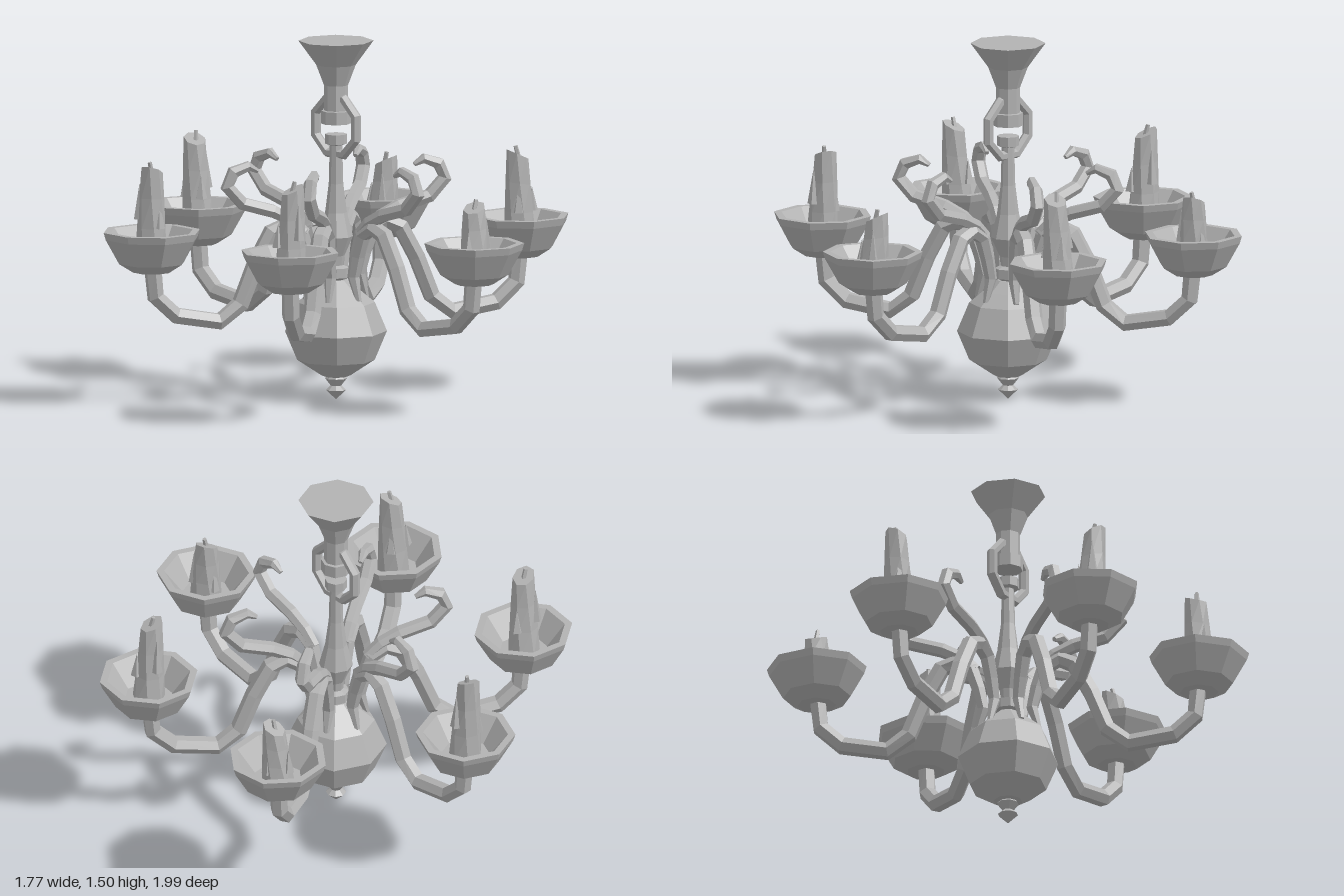
import * as THREE from 'three';

const metal = new THREE.MeshStandardMaterial({ color: 0xb2b2b2, flatShading: true });
metal.name = 'grey';

function part(name, geometry, parent) {
  const mesh = new THREE.Mesh(geometry, metal);
  mesh.name = name;
  parent.add(mesh);
  return mesh;
}

// Turned part from [radius, y] pairs listed bottom to top
function turned(points, sides = 8) {
  return new THREE.LatheGeometry(points.map(([r, y]) => new THREE.Vector2(r, y)), sides);
}

// Six-sided bar swept through [reach, y, radius] points in the YZ plane
function bar(points, sides = 6) {
  const pos = [], index = [];
  const at = (i) => points[Math.max(0, Math.min(points.length - 1, i))];
  points.forEach(([z, y, r], i) => {
    const tz = at(i + 1)[0] - at(i - 1)[0], ty = at(i + 1)[1] - at(i - 1)[1];
    const len = Math.hypot(tz, ty);
    for (let j = 0; j < sides; j++) {
      const a = ((j + 0.5) / sides) * Math.PI * 2;
      const n = r * Math.cos(a);
      pos.push(r * Math.sin(a), y + (n * tz) / len, z - (n * ty) / len);
    }
  });
  const last = (points.length - 1) * sides;
  for (let j = 0; j < sides; j++) {
    const k = (j + 1) % sides;
    for (let o = 0; o < last; o += sides) {
      index.push(o + j, o + sides + j, o + k, o + k, o + sides + j, o + sides + k);
    }
    if (j > 0 && j < sides - 1) index.push(0, j, k, last, last + k, last + j);
  }
  const g = new THREE.BufferGeometry();
  g.setAttribute('position', new THREE.Float32BufferAttribute(pos, 3));
  g.setIndex(index);
  g.computeVertexNormals();
  return g;
}

// Melted candle: tapered, leaning, with a slanted top, wick and drips
function candle(height) {
  const group = new THREE.Group();
  group.name = 'candle';
  const g = new THREE.CylinderGeometry(0.046, 0.068, height, 7, 3);
  g.translate(0, height / 2, 0);
  const p = g.attributes.position;
  for (let i = 0; i < p.count; i++) {
    const x = p.getX(i), y = p.getY(i), z = p.getZ(i), t = y / height;
    const a = t * 0.5;
    p.setXYZ(
      i,
      x * Math.cos(a) - z * Math.sin(a) + 0.012 * t,
      y + t * t * t * (0.3 * x - 0.35 * z),
      x * Math.sin(a) + z * Math.cos(a) - 0.012 * t
    );
  }
  part('wax', g, group);

  const wick = part('wick', new THREE.CylinderGeometry(0.009, 0.011, 0.045, 5), group);
  wick.position.set(0.014, height + 0.012, -0.008);
  wick.rotation.z = -0.25;

  for (const [angle, top, length] of [[0.8, 0.85, 0.15], [3.0, 0.7, 0.13], [5.0, 0.62, 0.1]]) {
    const drip = part('waxDrip', new THREE.ConeGeometry(0.026, length, 5), group);
    drip.position.set(Math.sin(angle) * 0.05, height * top - length / 2, Math.cos(angle) * 0.05);
  }
  return group;
}

export function createModel() {
  const model = new THREE.Group();
  model.name = 'chandelier';

  // Ceiling canopy with its collar
  part('canopy', turned([
    [0, 1.15], [0.062, 1.15], [0.062, 1.203], [0.05, 1.205], [0.05, 1.31],
    [0.082, 1.395], [0.155, 1.495], [0, 1.495]
  ]), model);

  // Link joining canopy and shaft
  const link = part('chainLink', new THREE.TorusGeometry(0.124, 0.022, 6, 8), model);
  link.rotation.set(0, Math.PI / 2, 0);
  link.geometry.rotateZ(Math.PI / 8);
  link.position.y = 1.14;

  // Central shaft with cap and collar
  part('shaft', turned([
    [0.04, 0.44], [0.035, 0.5], [0.055, 0.51], [0.055, 0.55], [0.03, 0.56], [0.035, 0.6],
    [0.07, 0.68], [0.045, 0.78], [0.03, 0.9], [0.026, 1.06], [0.046, 1.066],
    [0.046, 1.106], [0, 1.108]
  ]), model);

  // Bulbous body and the finial below it
  part('body', turned([
    [0, 0.085], [0.06, 0.1], [0.16, 0.165], [0.21, 0.285], [0.16, 0.405],
    [0.1, 0.455], [0.045, 0.5], [0, 0.5]
  ]), model);
  part('finial', turned([
    [0, 0], [0.042, 0.04], [0.022, 0.058], [0.045, 0.088], [0.03, 0.11], [0, 0.11]
  ]), model);

  // Six branches, each with arm, scroll, drip cup and candle
  const candleHeights = [0.25, 0.36, 0.25, 0.37, 0.36, 0.36];
  candleHeights.forEach((height, i) => {
    const branch = new THREE.Group();
    branch.name = 'branch';
    branch.rotation.y = (i * Math.PI) / 3;
    model.add(branch);

    part('arm', bar([
      [0.13, 0.42, 0.012], [0.1, 0.52, 0.026], [0.12, 0.61, 0.03], [0.15, 0.7, 0.034],
      [0.21, 0.738, 0.035], [0.275, 0.71, 0.037], [0.345, 0.58, 0.037], [0.41, 0.415, 0.037],
      [0.5, 0.346, 0.037], [0.685, 0.378, 0.037], [0.773, 0.46, 0.037], [0.785, 0.58, 0.037]
    ]), branch);

    part('scroll', bar([
      [0.13, 0.7, 0.024], [0.19, 0.755, 0.028], [0.27, 0.795, 0.03], [0.4, 0.832, 0.03],
      [0.466, 0.905, 0.03], [0.44, 0.965, 0.028], [0.375, 0.988, 0.022], [0.335, 0.965, 0.01]
    ]), branch);

    const cup = part('dripCup', turned([
      [0, 0.565], [0.08, 0.565], [0.14, 0.603], [0.197, 0.705], [0.206, 0.735],
      [0.175, 0.735], [0.1, 0.635], [0, 0.635]
    ]), branch);
    cup.position.z = 0.79;

    const wax = candle(height);
    wax.position.set(0, 0.63, 0.79);
    wax.rotation.y = i * 1.3;
    branch.add(wax);
  });

  return model;
}
